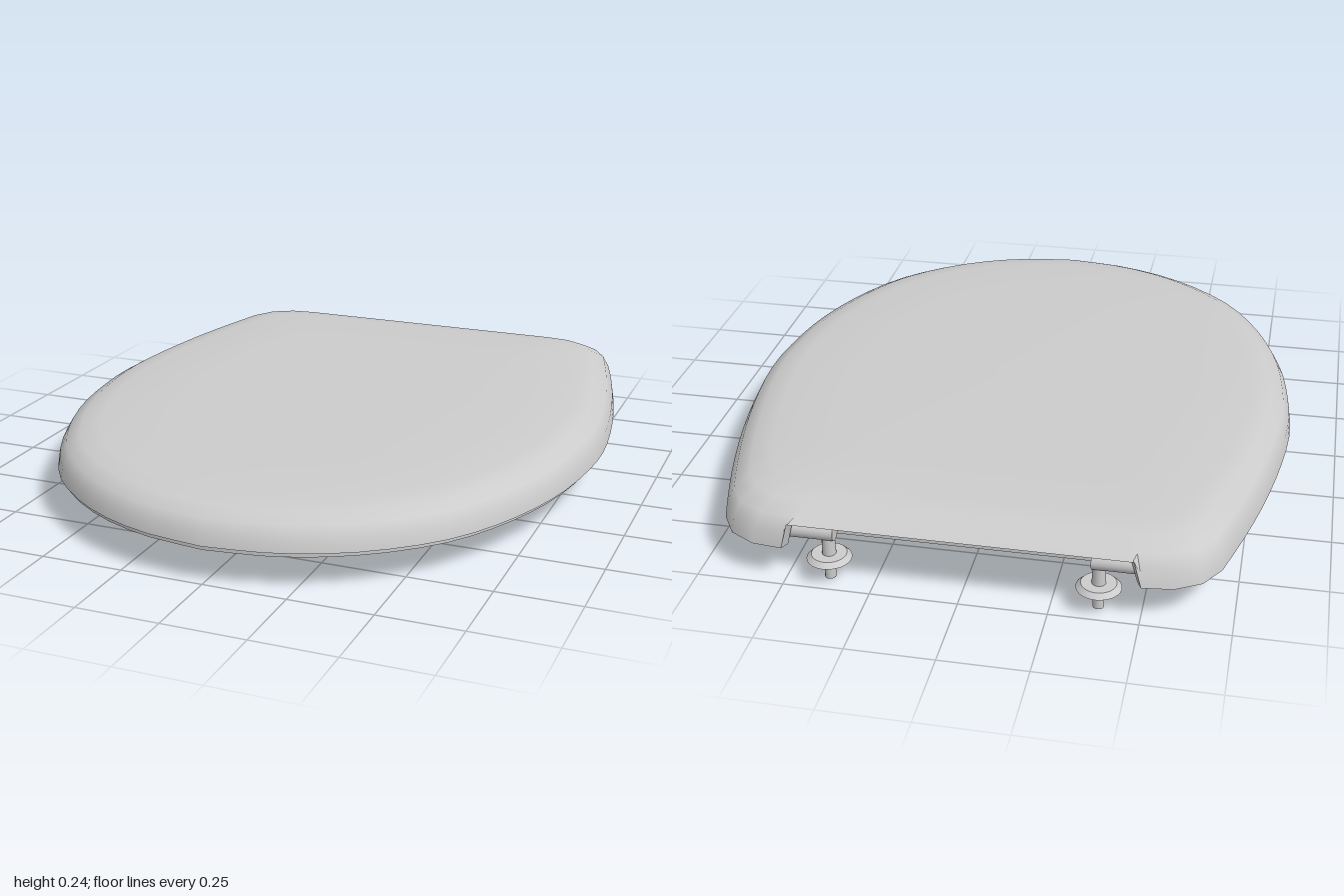
import * as THREE from 'three';
import { toCreasedNormals } from 'three/addons/utils/BufferGeometryUtils.js';
import { RoundedBoxGeometry } from 'three/addons/geometries/RoundedBoxGeometry.js';

// Plan outline as [x, z] pairs: rounded front, tapering sides, straight back.
function makeOutline() {
  const half = [[0, 1], [0.2, 0.97], [0.4, 0.885], [0.6, 0.72], [0.72, 0.53], [0.81, 0.28], [0.85, 0],
    [0.852, -0.1], [0.84, -0.25], [0.8, -0.5], [0.74, -0.75], [0.69, -0.9], [0.62, -0.97], [0.5, -0.99]];
  const curve = new THREE.CatmullRomCurve3(half.map(([x, z]) => new THREE.Vector3(x, 0, z)));
  const right = curve.getSpacedPoints(30).map((p) => [p.x, p.z]);
  right.push([0.48, -0.99], [0.25, -0.99], [0, -0.99]);
  const left = right.slice(1, -1).reverse().map(([x, z]) => [-x, z]);
  return [...right, ...left];
}

// Skin a list of closed rings of equal length.
function loft(rings, closed, crease) {
  const pos = [];
  const n = rings[0].length;
  const tri = (a, b, c) => {
    const area = b.clone().sub(a).cross(c.clone().sub(a)).length();
    if (area > 1e-9) for (const p of [a, b, c]) pos.push(p.x, p.y, p.z);
  };
  const last = closed ? rings.length : rings.length - 1;
  for (let r = 0; r < last; r++) {
    const low = rings[r];
    const high = rings[(r + 1) % rings.length];
    for (let i = 0; i < n; i++) {
      const j = (i + 1) % n;
      tri(low[i], low[j], high[j]);
      tri(low[i], high[j], high[i]);
    }
  }
  const g = new THREE.BufferGeometry();
  g.setAttribute('position', new THREE.Float32BufferAttribute(pos, 3));
  return toCreasedNormals(g, crease);
}

export function createModel() {
  const model = new THREE.Group();
  const plastic = new THREE.MeshStandardMaterial({ color: 0xcccccc });
  plastic.name = 'pale grey plastic';
  const add = (parent, name, geometry, x = 0, y = 0, z = 0) => {
    const mesh = new THREE.Mesh(geometry, plastic);
    mesh.name = name;
    mesh.position.set(x, y, z);
    parent.add(mesh);
    return mesh;
  };
  const outline = makeOutline();

  // Lid: hollow shell as [plan scale, relative height], rising to the back,
  // with the back wall cut away between the hinges.
  const lidProfile = [[0, 0.88], [0.8, 0.86], [0.93, 0.72], [0.965, 0.35], [0.975, 0],
    [1, 0], [0.992, 0.35], [0.968, 0.67], [0.92, 0.87], [0.85, 0.95], [0.6, 0.99], [0, 1]];
  const lidRings = lidProfile.map(([s, h]) => outline.map(([x, z]) => {
    let y = 0.113 + h * (0.117 - 0.014 * z * s);
    if (Math.abs(x) < 0.49 && z < -0.9) y = Math.max(y, 0.192);
    return new THREE.Vector3(x * s, y, z * s);
  }));
  add(model, 'lid', loft(lidRings, false, 0.7));

  // Seat: upside-down gutter from the outer edge (0) to the oval opening (1).
  const seatProfile = [[0, 0.1], [0, 0.112], [0.06, 0.118], [0.08, 0.155], [0.2, 0.178], [0.5, 0.185],
    [0.8, 0.175], [0.95, 0.15], [1, 0.11], [0.97, 0.108], [0.9, 0.142], [0.78, 0.16],
    [0.5, 0.168], [0.22, 0.162], [0.11, 0.145], [0.04, 0.1]];
  const holeZ = 0.12;
  const seatRings = seatProfile.map(([f, y]) => outline.map(([px, pz]) => {
    const x = px * 0.987;
    const z = Math.max(pz * 0.993, -0.87);
    const a = Math.atan2(x / 0.85, z - holeZ);
    const hx = 0.55 * Math.sin(a);
    const hz = holeZ + 0.63 * Math.cos(a);
    return new THREE.Vector3(x + (hx - x) * f, y, z + (hz - z) * f);
  }));
  add(model, 'seat', loft(seatRings, true, 0.7));

  for (const side of [-1, 1]) {
    const label = side > 0 ? 'left' : 'right';

    // Rubber-style feet set radially under the seat.
    for (const [name, x, z, dx, dz] of [['FrontBumper', 0.49, 0.63, 0.78, 0.56],
      ['BackBumper', 0.62, -0.44, 0.86, -0.5]]) {
      const bumper = add(model, label + name, new RoundedBoxGeometry(0.23, 0.085, 0.085, 3, 0.03),
        side * x, 0.1275, z);
      bumper.rotation.y = Math.atan2(-dz, side * dx);
    }

    // Hinge: bolt, flange, post and horizontal barrel.
    const hinge = new THREE.Group();
    hinge.name = label + 'Hinge';
    hinge.position.set(side * 0.38, 0, -0.935);
    model.add(hinge);
    add(hinge, 'bolt', new THREE.CylinderGeometry(0.016, 0.016, 0.066, 14), 0, 0.033);
    add(hinge, 'flange', new THREE.CylinderGeometry(0.05, 0.064, 0.014, 24), 0, 0.071);
    add(hinge, 'post', new THREE.CylinderGeometry(0.018, 0.02, 0.075, 14), 0, 0.112);
    const barrel = add(hinge, 'barrel', new THREE.CylinderGeometry(0.027, 0.027, 0.13, 16), side * 0.045, 0.15);
    barrel.rotation.z = Math.PI / 2;
  }
  return model;
}
